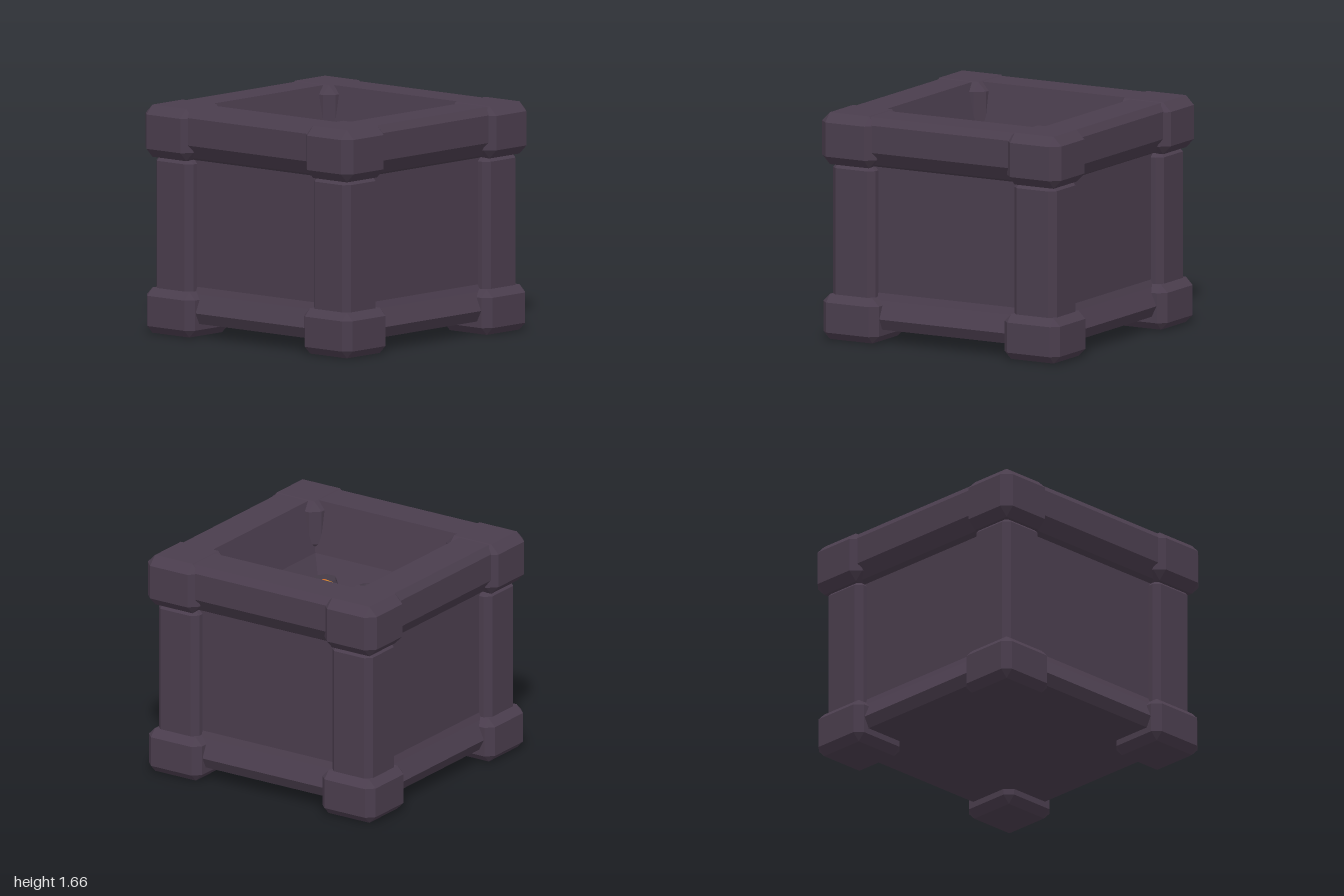
import * as THREE from 'three';
import { ConvexGeometry } from 'three/addons/geometries/ConvexGeometry.js';

const flat = (name, color) => {
  const m = new THREE.MeshStandardMaterial({ color, flatShading: true });
  m.name = name;
  return m;
};

// Box between two corners with every edge cut by c
function chamferBox(min, max, c) {
  const pts = [];
  for (let i = 0; i < 8; i++) {
    for (let full = 0; full < 3; full++) {
      const p = [0, 1, 2].map((k) => {
        const inset = k === full ? 0 : c;
        return (i >> k) & 1 ? max[k] - inset : min[k] + inset;
      });
      pts.push(new THREE.Vector3(...p));
    }
  }
  return new ConvexGeometry(pts);
}

// Faceted solid from a [radius, height] profile
function turned(profile, sides, start = 0) {
  return new THREE.LatheGeometry(profile.map(([r, y]) => new THREE.Vector2(r, y)), sides, start);
}

export function createModel() {
  const stone = flat('stone', 0x4a3d4d);
  const coalMat = flat('coal', 0x443a47);
  const glow = flat('emberGlow', 0xdc982e);
  const red = flat('emberRed', 0xd8561f);
  const model = new THREE.Group();
  model.name = 'brazier';

  const add = (name, geometry, material, parent = model) => {
    const mesh = new THREE.Mesh(geometry, material);
    mesh.name = name;
    parent.add(mesh);
    return mesh;
  };

  // Square body: base rail, recessed panels, top rim, inner pit and its floor
  const section = [
    [0, 0.1], [0.89, 0.1], [0.93, 0.18], [0.87, 0.31], [0.85, 0.36],
    [0.85, 1.28], [0.89, 1.3], [0.96, 1.4], [0.96, 1.6], [0.92, 1.655],
    [0.66, 1.655], [0.58, 1.28], [0.49, 1.1], [0, 1.1],
  ];
  add('body', turned(section.map(([h, y]) => [h * Math.SQRT2, y]), 4, Math.PI / 4), stone);

  // Corner foot, post and cap
  const parts = {
    foot: chamferBox([0.525, 0, 0.525], [0.99, 0.33, 0.99], 0.055),
    post: chamferBox([0.58, 0.2, 0.58], [0.935, 1.3, 0.935], 0.045),
    cap: chamferBox([0.545, 1.28, 0.545], [1, 1.66, 1], 0.065),
  };
  for (let i = 0; i < 4; i++) {
    const corner = new THREE.Group();
    corner.name = 'corner' + (i + 1);
    corner.rotation.y = (i * Math.PI) / 2;
    for (const name in parts) add(name, parts[name], stone, corner);
    model.add(corner);
  }

  // Coals: x, z, radius, peak height above the flat top, turn
  const coals = [
    [-0.28, -0.33, 0.12, 0, 0.2], [0.1, -0.36, 0.115, 0.01, 0.9],
    [0.34, -0.14, 0.115, 0.01, 1.5], [-0.34, -0.04, 0.125, 0.03, 0.5],
    [0.02, -0.04, 0.12, 0.03, 1.1], [0.37, 0.25, 0.105, 0.01, 0.3],
    [-0.32, 0.32, 0.12, 0, 0.7], [0.01, 0.36, 0.135, 0, 1.3],
  ];
  for (const [x, z, r, peak, turn] of coals) {
    const profile = [[r * 0.95, -0.02], [r, 0.05], [r * 0.78, 0.12], [0, 0.12 + peak]];
    const coal = add('coal', turned(profile, 7, turn), coalMat);
    coal.position.set(x, 1.1, z);
    coal.scale.z = 0.9;
  }

  // Embers: red sides with a glowing top; the peaked one has mixed facets
  const embers = [
    [-0.06, -0.265, 0.1, 0, 0.2], [0.23, 0.03, 0.105, 0, 0.6], [-0.18, 0.23, 0.095, 0.04, 0.4],
  ];
  for (const [x, z, r, peak, turn] of embers) {
    const ember = new THREE.Group();
    ember.name = 'ember';
    ember.position.set(x, 1.1, z);
    add('emberSide', turned([[r * 0.8, -0.02], [r, 0.07], [r * 0.86, 0.14]], 7, turn), red, ember);
    const top = turned([[r * 0.86, 0.14], [0, 0.14 + peak]], 7, turn);
    for (let i = 0; i < 7; i++) top.addGroup(i * 6, 6, peak && i % 3 ? 1 : 0);
    add('emberTop', top, [glow, red], ember);
    model.add(ember);
  }
  return model;
}
